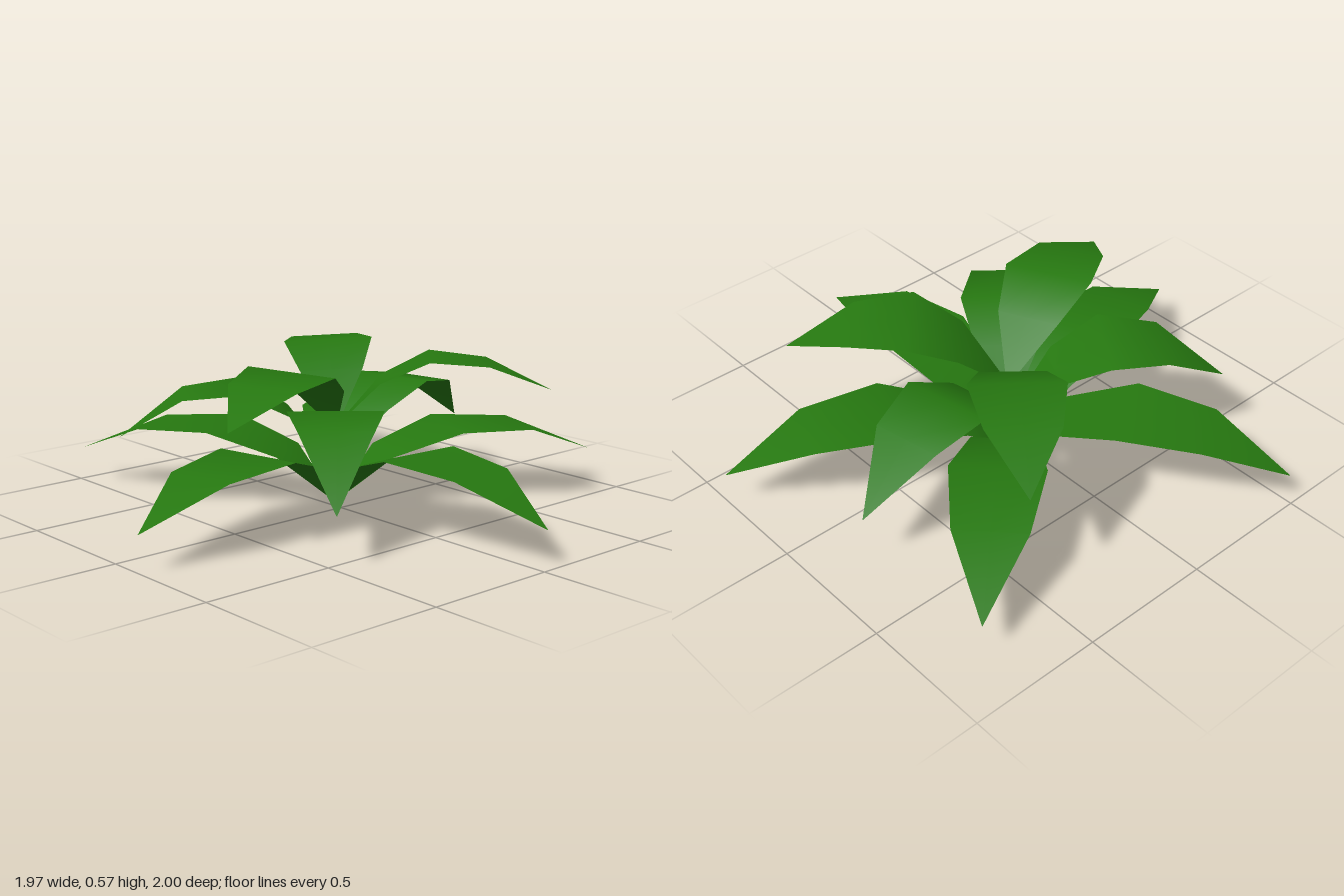
import * as THREE from 'three';

const CENTRE = [-0.075, -0.037];

// Flat-across blade that arches out from the base: stations of [distance, half width, height]
function leafGeometry(stations, roll) {
  const pos = [], index = [];
  for (const [r, w, y] of stations) {
    for (const s of [-1, 0, 1]) pos.push(r, y + s * w * roll, s * w);
  }
  for (let i = 0; i < stations.length - 1; i++) {
    for (let j = 0; j < 2; j++) {
      const a = i * 3 + j, b = a + 1, c = a + 3, d = a + 4;
      index.push(a, b, d, a, d, c);
    }
  }
  const geo = new THREE.BufferGeometry();
  geo.setAttribute('position', new THREE.Float32BufferAttribute(pos, 3));
  geo.setIndex(index);
  geo.computeVertexNormals();
  return geo;
}

// Stations share one outline; only the reach and the heights change
function leafStations(long, base, peak, shoulder, tip) {
  const reach = long ? [0.19, 0.45, 0.75, 1.053] : [0.17, 0.35, 0.565, 0.8];
  return [
    [0, 0.006, base],
    [reach[0], 0.12, base + (peak - base) * 0.68],
    [reach[1], 0.172, peak],
    [reach[2], 0.132, shoulder],
    [reach[3], 0.001, tip],
  ];
}

export function createModel() {
  const plant = new THREE.Group();
  plant.name = 'leafyPlant';
  const green = new THREE.MeshStandardMaterial({ color: 0x267810, side: THREE.DoubleSide });
  green.name = 'leafGreen';

  // Angles run from +x towards +z; each leaf is [angle, peak, shoulder, tip]
  const tiers = [
    { name: 'lowerLeaf', long: true, base: 0.003, roll: 0, leaves: [
      [0, 0.272, 0.255, 0.13], [78.7, 0.272, 0.255, 0.13], [150, 0.272, 0.255, 0.13],
      [226.5, 0.272, 0.255, 0.13], [294, 0.272, 0.255, 0.13]] },
    { name: 'middleLeaf', long: false, base: 0.15, roll: 0, leaves: [
      [41, 0.43, 0.41, 0.18], [126, 0.453, 0.43, 0.27], [259.7, 0.43, 0.395, 0.2]] },
    { name: 'upperLeaf', long: false, base: 0.29, roll: 0.04, leaves: [
      [67.3, 0.562, 0.542, 0.44], [217, 0.562, 0.542, 0.44], [314, 0.562, 0.542, 0.44]] },
  ];

  for (const { name, long, base, roll, leaves } of tiers) {
    leaves.forEach(([angle, peak, shoulder, tip], i) => {
      const leaf = new THREE.Mesh(leafGeometry(leafStations(long, base, peak, shoulder, tip), roll), green);
      leaf.name = name + (i + 1);
      leaf.position.set(CENTRE[0], 0, CENTRE[1]);
      leaf.rotation.y = -THREE.MathUtils.degToRad(angle);
      plant.add(leaf);
    });
  }

  // Thin stem joining the tiers
  const stem = new THREE.Mesh(new THREE.CylinderGeometry(0.006, 0.008, 0.29, 6), green);
  stem.name = 'stem';
  stem.position.set(CENTRE[0], 0.145, CENTRE[1]);
  plant.add(stem);

  return plant;
}
